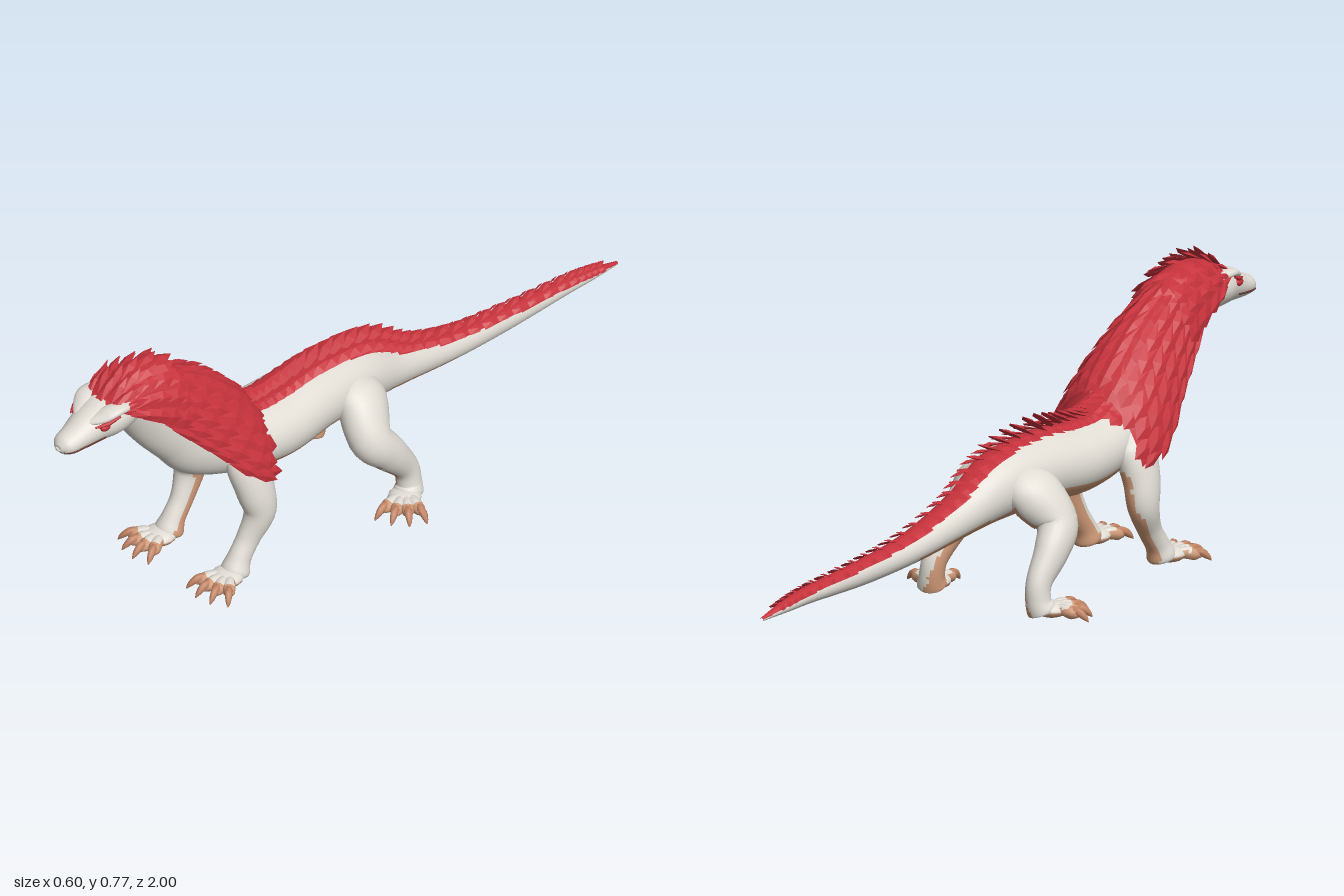
import * as THREE from 'three';
import { mergeGeometries } from 'three/addons/utils/BufferGeometryUtils.js';
import { ConvexGeometry } from 'three/addons/geometries/ConvexGeometry.js';
import { ParametricGeometry } from 'three/addons/geometries/ParametricGeometry.js';

const V = (x, y, z) => new THREE.Vector3(x, y, z);
const mat = (name, color, side = THREE.FrontSide) => {
  const m = new THREE.MeshStandardMaterial({ color, side });
  m.name = name;
  return m;
};

export function createModel() {
  const root = new THREE.Group();
  root.name = 'lizard';
  const cream = mat('cream hide', 0xe0dcd4);
  const tan = mat('tan underside', 0xd09a78);
  const red = mat('red scales', 0xc6323c, THREE.DoubleSide);
  const claw = mat('claw brown', 0xc48666);
  const dark = mat('mouth dark', 0x6b3a32);

  const add = (name, geometry, material, parent = root) => {
    const mesh = new THREE.Mesh(geometry, material);
    mesh.name = name;
    parent.add(mesh);
    return mesh;
  };

  // Frame along a path of [x, y, z, halfWidth, halfHeight] points
  function makeFrame(pts) {
    const path = new THREE.CatmullRomCurve3(pts.map(p => V(p[0], p[1], p[2])), false, 'catmullrom');
    const size = new THREE.CatmullRomCurve3(pts.map(p => V(p[3], p[4], 0)), false, 'catmullrom');
    return t => {
      const c = path.getPoint(t), T = path.getTangent(t), r = size.getPoint(t);
      const S = V(1, 0, 0).addScaledVector(T, -T.x).normalize();
      const N = T.clone().cross(S);
      const dir = a => S.clone().multiplyScalar(Math.cos(a)).addScaledVector(N, Math.sin(a));
      const at = a => c.clone()
        .addScaledVector(S, Math.cos(a) * Math.max(r.x, 0.001))
        .addScaledVector(N, Math.sin(a) * Math.max(r.y, 0.001));
      return { c, T, at, dir, w: r.x };
    };
  }

  // Skin a path; pick(point, outward, angle) gives the material slot of each face
  function loft(pts, around = 12, per = 4, pick = () => 0) {
    const frame = makeFrame(pts), n = (pts.length - 1) * per;
    const pos = [], slots = [[], [], []];
    for (let i = 0; i <= n; i++) {
      const f = frame(i / n);
      for (let j = 0; j < around; j++) {
        const a = (j / around) * Math.PI * 2;
        pos.push(...f.at(a).toArray());
        if (i === n) continue;
        const mid = a + Math.PI / around, k = (j + 1) % around;
        const p = i * around + j, q = i * around + k;
        slots[pick(f.at(mid), f.dir(mid), mid)].push(p, q, p + around, q, q + around, p + around);
      }
    }
    const g = new THREE.BufferGeometry();
    g.setAttribute('position', new THREE.Float32BufferAttribute(pos, 3));
    g.setIndex(slots.flat());
    let start = 0;
    slots.forEach((s, i) => {
      if (s.length) g.addGroup(start, s.length, i);
      start += s.length;
    });
    g.computeVertexNormals();
    return g;
  }

  // One overlapping scale: a ridged leaf lying along +z
  const leaf = new ConvexGeometry([
    V(-0.38, 0, 0), V(0.38, 0, 0), V(-0.5, 0, 0.65), V(0.5, 0, 0.65),
    V(0, 0.1, 1), V(0, 1, 0.6), V(0, -0.6, 0.5)]);
  function scale(p, along, normal, w, l, h, lift) {
    const z = along.clone().addScaledVector(normal, lift).normalize();
    const x = normal.clone().cross(z).normalize();
    const y = z.clone().cross(x);
    const m = new THREE.Matrix4().makeBasis(x.multiplyScalar(w), y.multiplyScalar(h), z.multiplyScalar(l));
    return leaf.clone().applyMatrix4(m.setPosition(p));
  }

  // Tail, trunk and neck in one skin, with a tan belly and red back
  const spine = [
    [0, 0.184, -1, 0.005, 0.005], [0, 0.197, -0.9, 0.018, 0.016], [0, 0.206, -0.8, 0.024, 0.023],
    [0, 0.213, -0.6, 0.031, 0.033], [0, 0.231, -0.4, 0.043, 0.04], [0, 0.272, -0.2, 0.06, 0.057],
    [0, 0.316, -0.05, 0.087, 0.087], [0, 0.329, 0.1, 0.102, 0.093], [0, 0.323, 0.25, 0.116, 0.095],
    [0, 0.341, 0.38, 0.106, 0.089], [0, 0.396, 0.5, 0.078, 0.099], [0, 0.47, 0.58, 0.06, 0.09],
    [0, 0.55, 0.66, 0.051, 0.082], [0, 0.625, 0.74, 0.049, 0.062], [0, 0.66, 0.8, 0.045, 0.04]];
  const stripe = z => z > 0.5 ? 1.4 : z > 0.42 ? 1 : 0.36 + Math.max(0, -z);
  add('body', loft(spine, 40, 6, (p, o, a) => {
    if (Math.abs(a - Math.PI / 2) < stripe(p.z)) return 2;
    return o.y < -0.5 && p.z < 0.44 && p.z > -0.4 ? 1 : 0;
  }), [cream, tan, red]);

  // Back scales, a raised centre row with lower rows beside it
  const spineFrame = makeFrame(spine), back = [];
  for (let i = 3; i < 49; i++) {
    const f = spineFrame(i / 52);
    const side = f.c.z > 0.42 ? 3 : 1;
    for (let k = -side; k <= side; k++) {
      const a = Math.PI / 2 + (k / side) * stripe(f.c.z) * 0.75;
      const big = Math.min(1, 0.22 + f.w * 8) * (k ? 0.85 : 1);
      back.push(scale(f.at(a), f.T.clone().negate(), f.dir(a), 0.05 * big, 0.095 * big, 0.008 * big,
        k ? 0.22 : 0.2 + 0.4 * big));
    }
  }
  add('backScales', mergeGeometries(back), red);

  // Head
  const head = new THREE.Group();
  head.name = 'head';
  root.add(head);
  add('skull', loft([
    [0, 0.65, 0.72, 0.045, 0.04], [0, 0.65, 0.78, 0.066, 0.057], [0, 0.646, 0.84, 0.07, 0.057],
    [0, 0.637, 0.89, 0.055, 0.047], [0, 0.624, 0.94, 0.042, 0.035], [0, 0.617, 0.98, 0.033, 0.026],
    [0, 0.615, 0.997, 0.014, 0.011], [0, 0.615, 0.999, 0.001, 0.001]], 24), cream, head);
  add('mouth', new THREE.TubeGeometry(new THREE.CatmullRomCurve3([
    V(-0.056, 0.622, 0.88), V(-0.041, 0.612, 0.94), V(-0.031, 0.609, 0.98), V(0, 0.609, 0.996),
    V(0.031, 0.609, 0.98), V(0.041, 0.612, 0.94), V(0.056, 0.622, 0.88)]), 32, 0.0025, 5), dark, head);
  for (const m of [1, -1]) {
    add('brow', loft([
      [m * 0.012, 0.662, 0.92, 0.006, 0.004], [m * 0.034, 0.675, 0.885, 0.022, 0.01],
      [m * 0.052, 0.69, 0.85, 0.026, 0.012], [m * 0.054, 0.687, 0.8, 0.02, 0.011],
      [m * 0.045, 0.68, 0.76, 0.003, 0.003]], 12), cream, head);
    // Red eye with a red streak slanting up under the brow
    const eye = add('eye', new THREE.SphereGeometry(0.013, 12, 8), red, head);
    eye.position.set(m * 0.055, 0.655, 0.882);
    eye.scale.set(0.8, 0.85, 1.3);
    add('eyeStreak', loft([
      [m * 0.046, 0.66, 0.91, 0.002, 0.002], [m * 0.062, 0.667, 0.878, 0.006, 0.006],
      [m * 0.074, 0.68, 0.845, 0.003, 0.003]], 8), red, head);
  }

  // Arched sheet from sections [topY, topZ, edgeX, edgeY, edgeZ], covered in scales
  function hood(name, sections, cols, rows, size, lift, power) {
    const top = new THREE.CatmullRomCurve3(sections.map(s => V(0, s[0], s[1])));
    const edge = new THREE.CatmullRomCurve3(sections.map(s => V(s[2], s[3], s[4])));
    const at = (s, t) => {
      const a = top.getPoint(s), b = edge.getPoint(s);
      const c = Math.pow(Math.max(0, Math.cos(t * Math.PI / 2)), power);
      return V(b.x * Math.sin(t * Math.PI / 2), b.y + (a.y - b.y) * c, b.z + (a.z - b.z) * c);
    };
    const group = new THREE.Group();
    group.name = name;
    root.add(group);
    add(name + 'Sheet', new ParametricGeometry((u, v, p) => p.copy(at(v, u * 2 - 1)), 24, 12), red, group);
    const list = [];
    for (let i = 0; i < cols; i++) for (let j = 0; j < rows; j++) {
      const t = ((i + 0.5) / cols) * 2 - 1;
      const s = ((j + (i % 2) * 0.45) / rows) * 0.86;
      const p = at(s, t), e = 0.01;
      const ds = at(s + e, t).sub(at(s, t)).normalize();
      const across = at(s, t + e).sub(at(s, t - e));
      const n = ds.clone().cross(across).normalize();
      if (n.x * p.x + n.y * 0.05 < 0) n.negate();
      const w = across.length() / (2 * e) * (2 / cols) * 1.15;
      list.push(scale(p, ds, n, w, size * (s > 0.7 ? 0.85 : 1), 0.007, lift));
    }
    add(name + 'Scales', mergeGeometries(list), red, group);
  }
  hood('cape', [
    [0.715, 0.67, 0.088, 0.585, 0.7], [0.645, 0.54, 0.126, 0.465, 0.58],
    [0.56, 0.435, 0.162, 0.34, 0.455], [0.475, 0.355, 0.152, 0.297, 0.37]], 14, 6, 0.105, 0.06, 1.4);
  hood('crown', [
    [0.694, 0.86, 0.07, 0.685, 0.84], [0.73, 0.79, 0.085, 0.64, 0.77],
    [0.728, 0.68, 0.09, 0.585, 0.69], [0.675, 0.6, 0.095, 0.55, 0.64]], 9, 5, 0.08, 0.22, 1);

  // Legs and feet
  const legs = {
    frontLeg: {
      path: [[0.065, 0.37, 0.4, 0.025, 0.035], [0.09, 0.33, 0.41, 0.045, 0.064], [0.118, 0.25, 0.408, 0.045, 0.055],
        [0.13, 0.18, 0.402, 0.04, 0.045], [0.123, 0.11, 0.435, 0.03, 0.034], [0.122, 0.06, 0.468, 0.031, 0.033],
        [0.123, 0.022, 0.485, 0.037, 0.038], [0.123, 0.008, 0.485, 0.002, 0.002]],
      foot: [0.123, 0.5], toes: [-0.45, -0.05, 0.35, 0.75], back: 0.6
    },
    hindLeg: {
      path: [[0.045, 0.345, -0.01, 0.035, 0.06], [0.09, 0.305, 0, 0.057, 0.077], [0.147, 0.23, 0.025, 0.054, 0.06],
        [0.168, 0.17, -0.02, 0.044, 0.05], [0.172, 0.1, -0.076, 0.033, 0.037], [0.177, 0.05, -0.086, 0.033, 0.035],
        [0.183, 0.022, -0.078, 0.037, 0.038], [0.183, 0.008, -0.078, 0.002, 0.002]],
      foot: [0.185, -0.065], toes: [0.1, 0.5, 0.9, 1.3], back: 0
    }
  };
  for (const [name, leg] of Object.entries(legs)) for (const m of [1, -1]) {
    const g = new THREE.Group();
    g.name = name;
    root.add(g);
    // Inner and downward faces are tan
    add(name + 'Limb', loft(leg.path.map(p => [p[0] * m, ...p.slice(1)]), 24, 6,
      (p, o) => p.y < 0.28 && -0.7 * m * o.x - leg.back * o.z - o.y > 0.3 ? 1 : 0), [cream, tan], g);
    const mid = leg.toes[1] / 2 + leg.toes[2] / 2;
    for (const [part, material, start] of [['palm', cream, 0], ['sole', tan, Math.PI / 2]]) {
      const pad = add(part, new THREE.SphereGeometry(1, 16, 6, 0, Math.PI * 2, start, Math.PI / 2), material, g);
      pad.scale.set(0.044, 0.021, 0.044);
      pad.position.set(m * (leg.foot[0] + 0.015 * Math.sin(mid)), 0.025, leg.foot[1] + 0.015 * Math.cos(mid));
    }
    for (const a of leg.toes) {
      const along = (d, y, w, h) =>
        [m * (leg.foot[0] + Math.sin(a) * d), y, leg.foot[1] + Math.cos(a) * d, w, h];
      const reach = p => Math.hypot(p.x - m * leg.foot[0], p.z - leg.foot[1]);
      add('toe', loft([along(0.02, 0.026, 0.012, 0.012), along(0.05, 0.028, 0.016, 0.016),
        along(0.078, 0.022, 0.016, 0.016), along(0.094, 0.016, 0.004, 0.004)], 10, 4,
        (p, o) => o.y > 0.4 && reach(p) < 0.066 ? 0 : 1), [cream, tan], g);
      add('claw', loft([along(0.066, 0.031, 0.01, 0.009), along(0.09, 0.029, 0.011, 0.012),
        along(0.11, 0.015, 0.007, 0.008), along(0.12, 0.004, 0.001, 0.001)], 6, 3), claw, g);
    }
  }
  return root;
}
